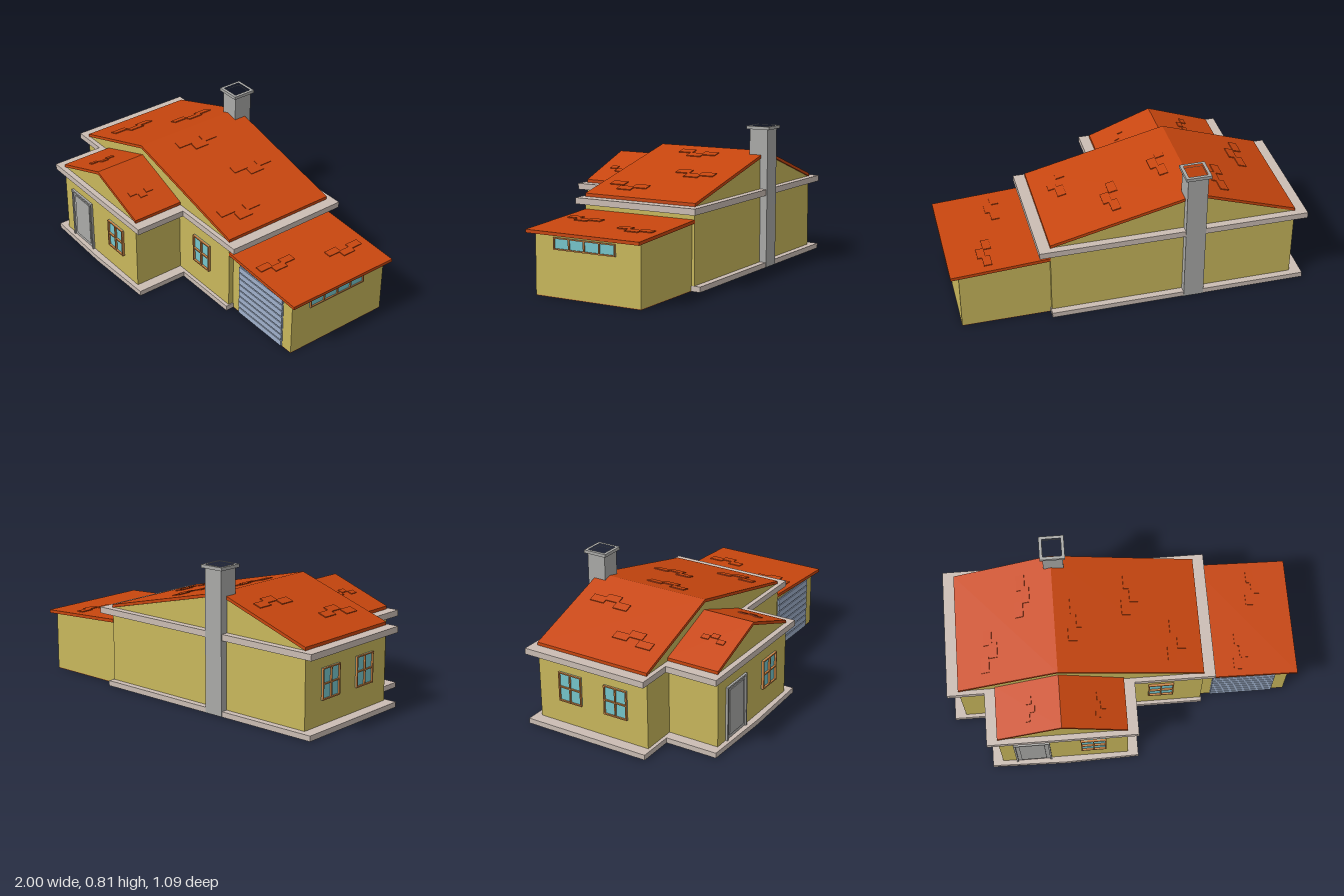
import * as THREE from 'three';

const mat = (name, color) => {
  const m = new THREE.MeshStandardMaterial({ color });
  m.name = name;
  return m;
};

export function createModel() {
  const house = new THREE.Group();
  house.name = 'house';
  const wall = mat('yellow plaster', 0xc9b85c);
  const roofRed = mat('roof tile', 0xc8460e);
  const concrete = mat('pale concrete', 0xcbbdb4);
  const grey = mat('grey stone', 0xaaaaa8);
  const glass = mat('window glass', 0x76c6cc);
  const wood = mat('frame wood', 0xc98445);
  const steel = mat('garage door steel', 0xa0b1cc);

  const add = (parent, name, geo, material) => {
    const mesh = new THREE.Mesh(geo, material);
    mesh.name = name;
    parent.add(mesh);
    return mesh;
  };
  // Box from min/max corners
  const box = (parent, name, x0, x1, y0, y1, z0, z1, material) => {
    const g = new THREE.BoxGeometry(x1 - x0, y1 - y0, z1 - z0);
    g.translate((x0 + x1) / 2, (y0 + y1) / 2, (z0 + z1) / 2);
    return add(parent, name, g, material);
  };
  const toShape = pts => new THREE.Shape(pts.map(p => new THREE.Vector2(p[0], p[1])));
  // Front outline (x, y) pushed along z
  const prism = (name, pts, z0, z1, material) => {
    const g = new THREE.ExtrudeGeometry(toShape(pts), { depth: z1 - z0, bevelEnabled: false });
    g.translate(0, 0, z0);
    return add(house, name, g, material);
  };
  // Ground plan (x, z) raised from y0 to y1, with optional hole
  const plan = (parent, name, pts, y0, y1, material, hole) => {
    const flip = list => list.map(([x, z]) => [x, -z]);
    const s = toShape(flip(pts));
    if (hole) s.holes.push(toShape(flip(hole)));
    const g = new THREE.ExtrudeGeometry(s, { depth: y1 - y0, bevelEnabled: false });
    g.rotateX(-Math.PI / 2);
    g.translate(0, y0, 0);
    return add(parent, name, g, material);
  };

  // Foundation and ceiling slabs
  const slabPlan = (right, tip) => [
    [-1, -0.525], [right, -0.525], [right, 0.23], [0.06, 0.23], [0.06, 0.535],
    [-0.365, tip], [-0.79, 0.535], [-0.79, 0.23], [-1, 0.23]];
  plan(house, 'foundationSlab', slabPlan(0.46, 0.546), 0, 0.03, concrete);
  plan(house, 'ceilingSlab', slabPlan(0.52, 0.536), 0.42, 0.455, concrete);

  // House walls
  plan(house, 'houseWalls', [[-0.935, -0.487], [0.455, -0.487], [0.455, 0.21], [0, 0.21],
    [0, 0.51], [-0.73, 0.51], [-0.73, 0.21], [-0.935, 0.21]], 0.03, 0.42, wall);

  // Gabled roofs: red sheet over a plaster gable
  const gable = (name, xl, xr, ridge, z0, z1) => {
    const rx = -0.365, t = 0.018, y = 0.455;
    prism(name + 'Roof', [[xl, y], [rx, ridge - t], [xr, y], [xr, y + t], [rx, ridge], [xl, y + t]], z0, z1, roofRed);
    prism(name + 'GableWall', [[xl + 0.005, y], [xr - 0.005, y], [rx, ridge - t - 0.001]], z0 + 0.006, z1 - 0.006, wall);
  };
  gable('main', -0.935, 0.455, 0.668, -0.49, 0.21);
  gable('wing', -0.73, 0, 0.607, 0.2, 0.51);

  // Raised tiles on a slope running from point a to point b in the xy plane
  const tiles = (name, a, b, w, l, list) => {
    const angle = Math.atan2(b[1] - a[1], b[0] - a[0]);
    for (const [x, z] of list) {
      const y = a[1] + (b[1] - a[1]) * (x - a[0]) / (b[0] - a[0]);
      const m = add(house, name, new THREE.BoxGeometry(l, 0.01, w), roofRed);
      m.position.set(x, y, z);
      m.rotation.z = angle;
    }
  };
  // Three staggered tiles
  const cluster = (x, z, dx, w) => [[x, z + w], [x + dx, z], [x + dx * 0.4, z - w]];
  tiles('mainRoofTile', [-0.365, 0.668], [0.455, 0.473], 0.09, 0.05, [
    ...cluster(-0.27, -0.1, 0.05, 0.08), ...cluster(0.04, -0.26, 0.05, 0.08), ...cluster(0.28, 0.02, 0.06, 0.08)]);
  tiles('mainRoofTile', [-0.935, 0.473], [-0.365, 0.668], 0.09, 0.05, [
    ...cluster(-0.56, -0.28, 0.04, 0.08), ...cluster(-0.77, 0.01, 0.05, 0.08)]);
  tiles('wingRoofTile', [-0.365, 0.607], [0, 0.473], 0.045, 0.03, cluster(-0.16, 0.37, 0.03, 0.05));
  tiles('wingRoofTile', [-0.73, 0.473], [-0.365, 0.607], 0.045, 0.03, cluster(-0.55, 0.37, 0.03, 0.05));

  // Garage with lean-to roof
  prism('garageWalls', [[0.455, 0.005], [0.955, 0.005], [0.955, 0.339], [0.455, 0.367]], -0.47, 0.18, wall);
  box(house, 'garageFloor', 0.461, 0.955, 0, 0.005, -0.47, 0.18, wood);
  prism('garageRoof', [[0.455, 0.366], [1, 0.336], [1, 0.354], [0.455, 0.385]], -0.488, 0.21, roofRed);
  tiles('garageRoofTile', [0.455, 0.385], [1, 0.354], 0.08, 0.045, [
    ...cluster(0.77, -0.33, 0.04, 0.07), ...cluster(0.66, 0.06, 0.04, 0.07)]);

  // Slatted garage door
  box(house, 'garageDoor', 0.515, 0.885, 0.003, 0.325, 0.178, 0.183, steel);
  for (let i = 0; i < 8; i++) {
    const y = 0.006 + i * 0.04;
    box(house, 'garageDoorSlat', 0.518, 0.882, y, y + 0.033, 0.182, 0.189, steel);
  }

  // Windows: glass behind a thin deep grid of bars, facing +z before rotation
  const addWindow = (x, y, z, turn, w, h, cols, rows, depth) => {
    const g = new THREE.Group();
    g.name = 'window';
    g.position.set(x, y, z);
    g.rotation.y = turn;
    box(g, 'windowGlass', -w / 2, w / 2, -h / 2, h / 2, 0, 0.003, glass);
    const b = 0.0035;
    for (let i = 0; i <= cols; i++) {
      const c = (i / cols - 0.5) * (w - 2 * b);
      box(g, 'windowUpright', c - b, c + b, -h / 2, h / 2, 0, depth, wood);
    }
    for (let j = 0; j <= rows; j++) {
      const c = (j / rows - 0.5) * (h - 2 * b);
      box(g, 'windowCrossbar', -w / 2, w / 2, c - b, c + b, 0, depth - 0.0005, wood);
    }
    house.add(g);
  };
  addWindow(-0.197, 0.25, 0.51, 0, 0.145, 0.172, 2, 2, 0.015);
  addWindow(0.215, 0.25, 0.21, 0, 0.145, 0.172, 2, 2, 0.015);
  for (const z of [-0.28, 0.012]) addWindow(-0.935, 0.25, z, -Math.PI / 2, 0.145, 0.172, 2, 2, 0.013);
  addWindow(0.955, 0.288, -0.13, Math.PI / 2, 0.38, 0.065, 4, 1, 0.011);

  // Front door with raised frame
  box(house, 'frontDoor', -0.64, -0.455, 0.03, 0.338, 0.508, 0.514, grey);
  for (const x of [-0.65, -0.455]) box(house, 'doorJamb', x, x + 0.01, 0.03, 0.345, 0.508, 0.523, grey);
  box(house, 'doorLintel', -0.64, -0.455, 0.335, 0.345, 0.508, 0.523, grey);
  box(house, 'doorPanel', -0.62, -0.475, 0.05, 0.318, 0.512, 0.518, grey);

  // Hollow chimney with flanged cap
  const ring = r => [[-r, -r], [r, -r], [r, r], [-r, r]].map(([x, z]) => [x - 0.35, z - 0.473]);
  const chimney = new THREE.Group();
  chimney.name = 'chimney';
  plan(chimney, 'chimneyShaft', ring(0.057), 0.002, 0.8, grey, ring(0.053));
  plan(chimney, 'chimneyCap', ring(0.071), 0.797, 0.815, grey, ring(0.0535));
  house.add(chimney);

  return house;
}
